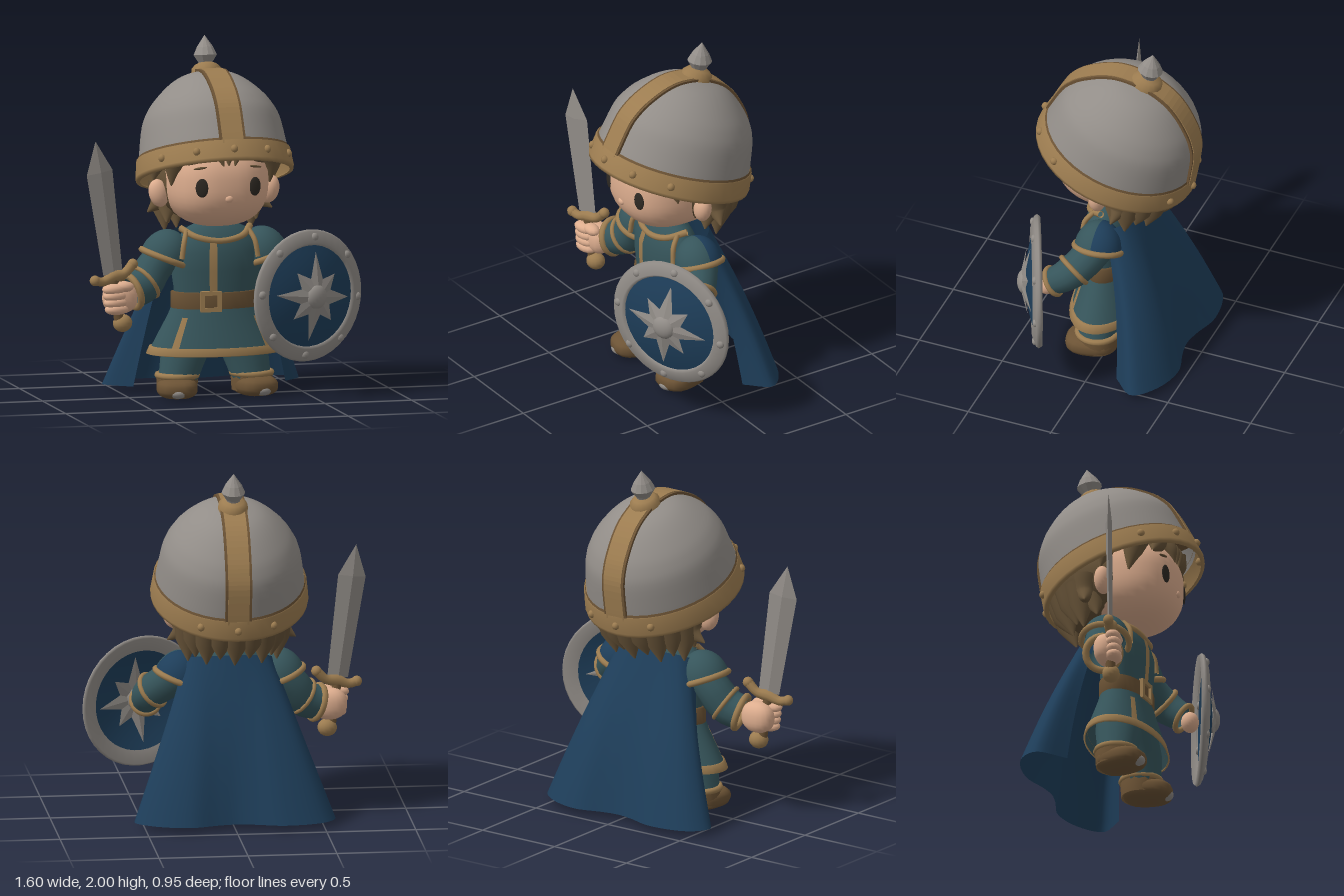
import * as THREE from 'three';

const mat = (name, color, side = THREE.FrontSide) => {
  const m = new THREE.MeshStandardMaterial({ color, side });
  m.name = name;
  return m;
};
const steel = mat('steel grey', 0x928d88, THREE.DoubleSide);
const gold = mat('bronze trim', 0x9c7c50, THREE.DoubleSide);
const teal = mat('teal cloth', 0x36555b, THREE.DoubleSide);
const blue = mat('deep blue', 0x1e3e5a, THREE.DoubleSide);
const skin = mat('skin', 0xdeae8f);
const hairMat = mat('brown hair', 0x624f35);
const leather = mat('leather', 0x6c5335, THREE.DoubleSide);
const dark = mat('eye dark', 0x2e2923);

const V = (x, y, z) => new THREE.Vector3(x, y, z);

function add(parent, name, geo, material, x = 0, y = 0, z = 0) {
  const m = new THREE.Mesh(geo, material);
  m.name = name;
  m.position.set(x, y, z);
  parent.add(m);
  return m;
}
function group(parent, name, x = 0, y = 0, z = 0) {
  const g = new THREE.Group();
  g.name = name;
  g.position.set(x, y, z);
  parent.add(g);
  return g;
}
// Ellipsoid; a power above 2 makes it boxier
function ball(parent, name, material, p, r, power = 2, seg = 20) {
  const geo = new THREE.SphereGeometry(1, seg, Math.ceil(seg * 0.7));
  const a = geo.attributes.position, n = geo.attributes.normal, v = V(0, 0, 0);
  const bend = (c) => Math.sign(c) * Math.abs(c) ** (power - 1);
  for (let i = 0; i < a.count; i++) {
    v.fromBufferAttribute(a, i);
    v.divideScalar([v.x, v.y, v.z].reduce((s, c) => s + Math.abs(c) ** power, 0) ** (1 / power));
    a.setXYZ(i, v.x, v.y, v.z);
    v.set(bend(v.x), bend(v.y), bend(v.z)).normalize();
    n.setXYZ(i, v.x, v.y, v.z);
  }
  geo.scale(...r);
  return add(parent, name, geo, material, ...p);
}
// Smooth tube through [x, y, z, radius] points
function limb(parent, name, material, pts, n = 14, sides = 14) {
  const curve = new THREE.CatmullRomCurve3(pts.map((p) => V(p[0], p[1], p[2])));
  const geo = new THREE.TubeGeometry(curve, n, 1, sides);
  const a = geo.attributes.position, v = V(0, 0, 0);
  for (let i = 0; i < a.count; i++) {
    const t = Math.floor(i / (sides + 1)) / n, c = curve.getPointAt(t);
    const k = Math.min(Math.floor(t * (pts.length - 1)), pts.length - 2);
    const r = THREE.MathUtils.lerp(pts[k][3], pts[k + 1][3], t * (pts.length - 1) - k);
    v.fromBufferAttribute(a, i).sub(c).multiplyScalar(r).add(c);
    a.setXYZ(i, v.x, v.y, v.z);
  }
  return add(parent, name, geo, material);
}
function ring(parent, name, material, p, dir, r, tube) {
  const m = add(parent, name, new THREE.TorusGeometry(r, tube, 8, 28), material, ...p);
  m.quaternion.setFromUnitVectors(V(0, 0, 1), V(...dir).normalize());
  return m;
}
const lathe = (pts, seg = 36, start = 0, len = Math.PI * 2) =>
  new THREE.LatheGeometry(pts.map((p) => new THREE.Vector2(p[0], p[1])), seg, start, len);
const facet = (geo) => {
  const g = geo.toNonIndexed();
  g.computeVertexNormals();
  return g;
};

function buildHelmet(root) {
  const g = group(root, 'helmet', -0.01, 1.24, 0.025);
  g.rotation.x = -0.325;
  g.scale.x = 0.93;
  const knots = [[0.45, 0.1], [0.44, 0.17], [0.415, 0.3], [0.38, 0.375], [0.33, 0.44], [0.24, 0.52], [0.145, 0.57], [0, 0.6]];
  const prof = new THREE.SplineCurve(knots.map((p) => new THREE.Vector2(...p))).getPoints(24);
  add(g, 'helmetDome', new THREE.LatheGeometry(prof, 40), steel);
  add(g, 'helmetRim', lathe([[0.45, 0], [0.472, 0], [0.476, 0.02], [0.462, 0.12], [0.445, 0.125]], 40), gold);
  add(g, 'rimEdge', lathe([[0.456, 0.12], [0.449, 0.135]], 40), leather);
  // Crest strap from front to back, with a darker border under it
  for (const [w, lift, m] of [[0.16, 0.006, leather], [0.13, 0.01, gold]]) {
    const side = prof.map((p) => new THREE.Vector2(p.x * (1 + lift / 0.44), p.y * (1 + lift / 0.6)));
    const back = side.slice(0, -1).reverse().map((p) => new THREE.Vector2(-p.x, p.y));
    const geo = new THREE.ExtrudeGeometry(new THREE.Shape([...side, ...back]), { depth: w, bevelEnabled: false });
    geo.translate(0, 0, -w / 2).rotateY(Math.PI / 2);
    add(g, 'helmetCrest', geo, m);
  }
  add(g, 'spikeBase', lathe([[0.092, 0.575], [0.088, 0.61], [0.065, 0.632], [0.03, 0.645]], 16), gold);
  const spike = add(g, 'spike', facet(lathe([[0.034, -0.02], [0.045, 0.01], [0.072, 0.05], [0.05, 0.095], [0, 0.162]], 12)), steel, 0, 0.635, 0);
  spike.rotation.x = 0.18;
  for (const deg of [0, 28, -28, 57, -57, 152, -152, 180]) {
    const a = THREE.MathUtils.degToRad(deg);
    ball(g, 'rimRivet', gold, [0.468 * Math.sin(a), 0.065, 0.468 * Math.cos(a)], [0.023, 0.023, 0.023], 2, 10);
  }
}

function buildHead(root) {
  const g = group(root, 'head', -0.01, 0, 0);
  ball(g, 'face', skin, [0, 1.225, 0.025], [0.288, 0.262, 0.322], 2.5, 36);
  ball(g, 'nose', skin, [0, 1.15, 0.338], [0.024, 0.02, 0.014]);
  ball(g, 'hairBack', hairMat, [0, 1.2, -0.09], [0.32, 0.23, 0.295], 2.2, 28);
  for (const s of [-1, 1]) {
    ball(g, 'ear', skin, [s * 0.32, 1.15, 0.005], [0.056, 0.08, 0.048]).rotation.z = -s * 0.25;
    ball(g, 'eye', dark, [s * 0.153, 1.215, 0.32], [0.036, 0.053, 0.009]).rotation.y = s * 0.25;
    ball(g, 'eyebrow', hairMat, [s * 0.16, 1.325, 0.307], [0.038, 0.007, 0.009]).rotation.set(0, s * 0.25, -s * 0.15);
    // Locks at the temple and around the ear
    limb(g, 'templeLock', hairMat, [[s * 0.25, 1.43, 0.2, 0.07], [s * 0.275, 1.33, 0.17, 0.055], [s * 0.285, 1.21, 0.145, 0.004]]);
    limb(g, 'sideLock', hairMat, [[s * 0.32, 1.4, 0.03, 0.07], [s * 0.34, 1.3, 0.01, 0.055], [s * 0.35, 1.22, 0, 0.004]]);
    limb(g, 'earLock', hairMat, [[s * 0.28, 1.2, -0.11, 0.07], [s * 0.29, 1.09, -0.11, 0.055], [s * 0.36, 1.03, -0.09, 0.004]]);
    limb(g, 'jawLock', hairMat, [[s * 0.24, 1.12, -0.08, 0.06], [s * 0.25, 1.05, -0.07, 0.05], [s * 0.26, 0.975, -0.05, 0.004]]);
    limb(g, 'fringeLock', hairMat, [[s * 0.16, 1.45, 0.26, 0.07], [s * 0.17, 1.4, 0.275, 0.05], [s * 0.22, 1.34, 0.265, 0.004]]);
  }
  for (const [x, tip] of [[-0.05, -0.03], [0.0, 0.0], [0.05, 0.035]])
    limb(g, 'fringeLock', hairMat, [[x, 1.46, 0.28, 0.05], [x, 1.4, 0.32, 0.032], [tip, 1.335, 0.33, 0.003]]);
  // Pointed locks along the nape
  for (let i = 0; i < 9; i++) {
    const a = Math.PI + (i - 4) * 0.32, x = Math.sin(a), z = Math.cos(a);
    const tip = i % 2 ? 0.95 : 0.915;
    limb(g, 'napeLock', hairMat, [[x * 0.26, 1.17, z * 0.25 - 0.09, 0.08], [x * 0.265, 1.06, z * 0.23 - 0.08, 0.065], [x * 0.26, tip, z * 0.18 - 0.08, 0.004]]);
  }
}

function buildBody(root) {
  const g = group(root, 'tunic', -0.01, 0, 0.035);
  g.scale.z = 0.54;
  const chest = [[0.235, 0.52], [0.24, 0.62], [0.255, 0.72], [0.255, 0.82], [0.22, 0.89], [0.17, 0.95], [0.1, 0.985]];
  const out = (pts, d) => pts.map((p) => [p[0] + d, p[1]]);
  add(g, 'torso', lathe(chest), teal);
  add(g, 'frontTrim', lathe(out(chest.slice(0, 5), 0.012), 4, -0.27, 0.17), gold);
  add(g, 'belt', lathe([[0.235, 0.5], [0.256, 0.505], [0.256, 0.595], [0.235, 0.6]]), leather);
  // Flared skirt with trimmed hem and a trimmed slit on each side of the front
  const skirt = [[0.385, 0.255], [0.335, 0.35], [0.275, 0.46], [0.235, 0.55]];
  add(g, 'skirt', lathe(skirt, 40), teal);
  add(g, 'hemTrim', lathe([[0.381, 0.245], [0.398, 0.25], [0.379, 0.292], [0.364, 0.292]], 40), gold);
  for (const a of [-0.8, 0.8]) add(g, 'slitTrim', lathe(out(skirt.slice(0, 3), 0.009), 3, a - 0.07, 0.14), gold);
  // Collar dipping at the front
  limb(root, 'collarTrim', gold, [[-0.21, 0.95, 0.03, 0.02], [-0.14, 0.91, 0.125, 0.018], [-0.01, 0.888, 0.152, 0.018],
    [0.12, 0.91, 0.125, 0.018], [0.19, 0.95, 0.03, 0.02]], 20, 8);
  // Square buckle
  const b = new THREE.Shape([[-1, -1], [1, -1], [1, 1], [-1, 1]].map(([x, y]) => new THREE.Vector2(x * 0.06, y * 0.058)));
  b.holes.push(new THREE.Path([[-1, -1], [-1, 1], [1, 1], [1, -1]].map(([x, y]) => new THREE.Vector2(x * 0.037, y * 0.035))));
  const buckle = add(root, 'buckle', new THREE.ExtrudeGeometry(b, { depth: 0.025, bevelEnabled: false }), gold, -0.07, 0.55, 0.158);
  buckle.rotation.y = -0.12;

  for (const s of [-1, 1]) {
    // Legs and boots
    const x = s * 0.215 - 0.02;
    limb(root, 'leg', teal, [[s * 0.12 - 0.02, 0.4, 0.04, 0.125], [s * 0.17 - 0.02, 0.27, 0.05, 0.13], [x, 0.1, 0.055, 0.108]]);
    add(root, 'bootShaft', lathe([[0.112, 0.03], [0.118, 0.125], [0.1, 0.135]], 24), leather, x, 0, 0.05);
    ring(root, 'bootTrim', gold, [x, 0.127, 0.05], [0, 1, 0], 0.11, 0.018);
    const foot = group(root, 'boot', x + s * 0.01, 0, 0.085);
    foot.rotation.y = s * 0.2;
    ball(foot, 'bootFoot', leather, [0, 0.06, 0], [0.115, 0.06, 0.142], 2.7);
    ball(foot, 'toePlate', steel, [0, 0.042, 0.098], [0.055, 0.032, 0.048]);
    // Shoulder caps; the cloak colour shows on the rear of the shield-side one
    const pad = group(root, 'shoulderPad', s * 0.29 - 0.01, 0.785, 0.01);
    pad.rotation.z = s * 0.38;
    const half = (start) => new THREE.SphereGeometry(0.136, 14, 10, start, Math.PI, 0, Math.PI / 2).scale(1, 1.2, 1);
    add(pad, 'padFront', half(0), teal);
    add(pad, 'padBack', half(Math.PI), s > 0 ? blue : teal);
    ring(pad, 'padTrim', gold, [0, 0, 0], [0, 1, 0], 0.134, 0.018);
    limb(root, 'padEdge', gold, [[s * 0.18 - 0.01, 0.94, 0.08, 0.014], [s * 0.205 - 0.01, 0.88, 0.125, 0.015], [s * 0.22 - 0.01, 0.79, 0.135, 0.015]], 8, 8);
  }
}

function buildArms(root) {
  limb(root, 'swordArm', teal, [[-0.25, 0.85, 0, 0.11], [-0.36, 0.73, 0.01, 0.1], [-0.43, 0.64, 0.04, 0.105], [-0.52, 0.605, 0.07, 0.098]]);
  ring(root, 'cuffTrim', gold, [-0.505, 0.61, 0.066], [-0.9, -0.3, 0.3], 0.095, 0.02);
  ring(root, 'sleeveTrim', gold, [-0.42, 0.655, 0.037], [-0.75, -0.55, 0.25], 0.103, 0.013);
  ball(root, 'swordHand', skin, [-0.585, 0.585, 0.12], [0.1, 0.09, 0.07], 2.3);
  for (let i = 0; i < 4; i++)
    ball(root, 'finger', skin, [-0.618 - i * 0.005, 0.527 + i * 0.038, 0.172], [0.07, 0.031, 0.045], 2.2, 14).rotation.y = 0.2;
  ball(root, 'thumb', skin, [-0.575, 0.652, 0.165], [0.06, 0.032, 0.04], 2, 12);

  limb(root, 'shieldArm', teal, [[0.25, 0.84, 0, 0.11], [0.35, 0.75, 0.05, 0.1], [0.43, 0.67, 0.13, 0.095], [0.44, 0.6, 0.225, 0.075]]);
  ring(root, 'cuffTrim', gold, [0.44, 0.605, 0.215], [0.1, -0.55, 0.8], 0.078, 0.016);
  ring(root, 'sleeveTrim', gold, [0.41, 0.695, 0.105], [0.6, -0.55, 0.5], 0.097, 0.015);
  ball(root, 'shieldHand', skin, [0.435, 0.57, 0.255], [0.055, 0.06, 0.05]);
}

function buildSword(root) {
  const g = group(root, 'sword', -0.635, 0.73, 0.155);
  g.rotation.set(0, 0.25, 0.147);
  add(g, 'blade', facet(lathe([[0.062, 0], [0.083, 0.58], [0, 0.76]], 4).scale(1, 1, 0.22)), steel);
  limb(g, 'guard', gold, [[-0.115, -0.02, 0, 0.026], [-0.07, -0.035, 0, 0.026], [0, -0.02, 0, 0.036], [0.07, -0.018, 0, 0.026], [0.13, 0.022, 0, 0.028]], 16, 10);
  for (const [x, y] of [[-0.118, -0.018], [0.132, 0.024]]) ball(g, 'guardTip', gold, [x, y, 0], [0.03, 0.03, 0.03], 2, 12);
  add(g, 'grip', new THREE.CylinderGeometry(0.028, 0.028, 0.27, 12), leather, 0, -0.14, 0);
  ball(g, 'pommel', gold, [0.02, -0.292, 0], [0.056, 0.05, 0.05], 2, 14);
}

function buildShield(root) {
  const g = group(root, 'shield', 0.45, 0.585, 0.305);
  g.rotation.y = 0.415;
  g.scale.x = 1.03;
  const h = (r) => 0.07 - 0.05 * (r / 0.29) ** 2;
  const face = [0.3, 0.25, 0.2, 0.15, 0.1, 0.05, 0].map((r) => [r, h(r)]);
  add(g, 'shieldFace', lathe(face, 40).rotateX(Math.PI / 2), blue);
  add(g, 'shieldRim', lathe([[0.285, 0.005], [0.36, -0.018], [0.372, 0], [0.362, 0.016], [0.3, 0.038], [0.285, 0.022]], 40).rotateX(Math.PI / 2), steel);
  // Eight-pointed raised star, with a flat copy on the back
  for (const [name, top, lift] of [['star', 0.108, 0.01], ['starBack', 0.058, -0.008]]) {
    const ringPts = [], tri = [];
    for (let i = 0; i < 16; i++) {
      const r = i % 2 ? 0.108 : i % 4 ? 0.185 : 0.25, a = (i / 16) * Math.PI * 2 - 0.1;
      ringPts.push([r * Math.cos(a), r * Math.sin(a), h(r) + lift]);
    }
    ringPts.forEach((p, i) => tri.push(0, 0, top, ...p, ...ringPts[(i + 1) % 16]));
    const geo = new THREE.BufferGeometry();
    geo.setAttribute('position', new THREE.Float32BufferAttribute(tri, 3));
    geo.computeVertexNormals();
    add(g, name, geo, steel);
  }
  ball(g, 'boss', steel, [0, 0, 0.075], [0.07, 0.07, 0.042]);
  for (let i = 0; i < 8; i++) {
    const a = (i / 8) * Math.PI * 2 - 0.1;
    ball(g, 'shieldRivet', steel, [0.33 * Math.cos(a), 0.33 * Math.sin(a), 0.022], [0.024, 0.024, 0.018], 2, 10);
  }
}

function buildCape(root) {
  const line = (pts) => new THREE.CatmullRomCurve3(pts.map(([x, z]) => V(x, 0, z)));
  const top = line([[-0.26, -0.03], [-0.2, -0.11], [0, -0.15], [0.2, -0.11], [0.26, -0.03]]);
  const hem = line([[-0.43, -0.17], [-0.57, -0.31], [-0.5, -0.42], [-0.27, -0.47], [-0.1, -0.425], [0, -0.41],
    [0.1, -0.425], [0.26, -0.465], [0.45, -0.41], [0.56, -0.3], [0.45, -0.17]]);
  const geo = new THREE.PlaneGeometry(1, 1, 44, 16), a = geo.attributes.position;
  for (let i = 0; i < a.count; i++) {
    const u = a.getX(i) + 0.5, t = 0.5 - a.getY(i);
    const p = top.getPoint(u).lerp(hem.getPoint(u), t);
    const droop = 0.05 * (2 * u - 1) ** 2 * (1 - t);
    a.setXYZ(i, p.x, 0.945 - 0.91 * t - droop, p.z - 0.025 * Math.sin(Math.PI * t));
  }
  geo.computeVertexNormals();
  add(root, 'cape', geo, blue);
}

export function createModel() {
  const root = new THREE.Group();
  root.name = 'littleKnight';
  [buildHelmet, buildHead, buildBody, buildArms, buildSword, buildShield, buildCape].forEach((build) => build(root));
  return root;
}
